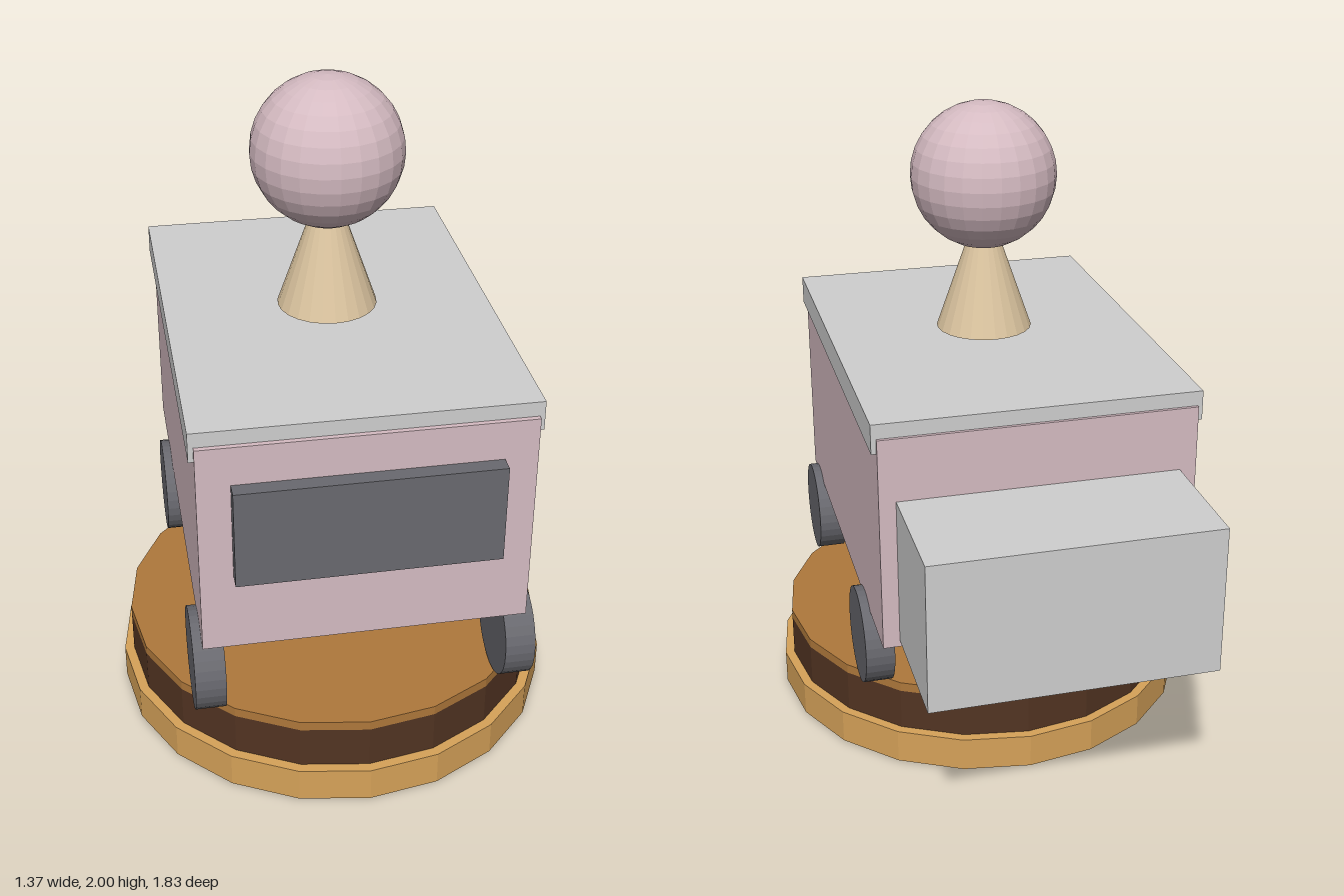
import * as THREE from 'three';

const mat = (name, color, flatShading = true) => {
  const m = new THREE.MeshStandardMaterial({ color, flatShading });
  m.name = name;
  return m;
};

export function createModel() {
  const model = new THREE.Group();
  model.name = 'cartOnBase';

  const pink = mat('dustyPink', 0xd5bbc2);
  const grey = mat('lightGrey', 0xcfcfcf);
  const charcoal = mat('charcoal', 0x69696f);
  const sand = mat('sand', 0xdcc5a0);
  const ochre = mat('ochre', 0xd6a259);
  const brown = mat('brown', 0xae783b);
  const darkBrown = mat('darkBrown', 0x523422);

  const add = (name, geometry, material, x, y, z) => {
    const mesh = new THREE.Mesh(geometry, material);
    mesh.name = name;
    mesh.position.set(x, y, z);
    model.add(mesh);
    return mesh;
  };
  // Box given by its width and its y and z ranges, centred on x
  const box = (name, material, w, y0, y1, z0, z1) =>
    add(name, new THREE.BoxGeometry(w, y1 - y0, z1 - z0), material, 0, (y0 + y1) / 2, (z0 + z1) / 2);
  // Upright disc or cone between two heights
  const disc = (name, material, rTop, rBottom, y0, y1, z, sides) =>
    add(name, new THREE.CylinderGeometry(rTop, rBottom, y1 - y0, sides), material, 0, (y0 + y1) / 2, z);

  // Stepped twenty-sided base
  const baseZ = 0.23;
  disc('basePlinth', ochre, 0.685, 0.685, 0, 0.11, baseZ, 20);
  disc('baseDrum', darkBrown, 0.655, 0.655, 0.11, 0.245, baseZ, 20);
  disc('baseTop', brown, 0.655, 0.655, 0.245, 0.275, baseZ, 20);

  // Cart body with roof, front window and rear box
  box('body', pink, 0.95, 0.555, 1.225, -0.53, 0.81);
  box('roof', grey, 0.98, 1.18, 1.27, -0.52, 0.795);
  box('frontWindow', charcoal, 0.76, 0.8, 1.105, 0.81, 0.857);
  box('rearBox', grey, 0.85, 0.575, 1.03, -0.915, -0.53);

  // Four wheels
  const wheel = new THREE.CylinderGeometry(0.152, 0.152, 0.09, 32).rotateZ(Math.PI / 2);
  for (const [end, z] of [['front', 0.69], ['rear', -0.227]]) {
    for (const [side, x] of [['Left', 0.458], ['Right', -0.458]]) {
      add(`${end}${side}Wheel`, wheel, charcoal, x, 0.43, z);
    }
  }

  // Cone and ball above the roof
  disc('cone', sand, 0.055, 0.15, 1.287, 1.56, 0.14, 24);
  add('ball', new THREE.SphereGeometry(0.226, 24, 16), pink, 0, 1.774, 0.14);

  return model;
}
